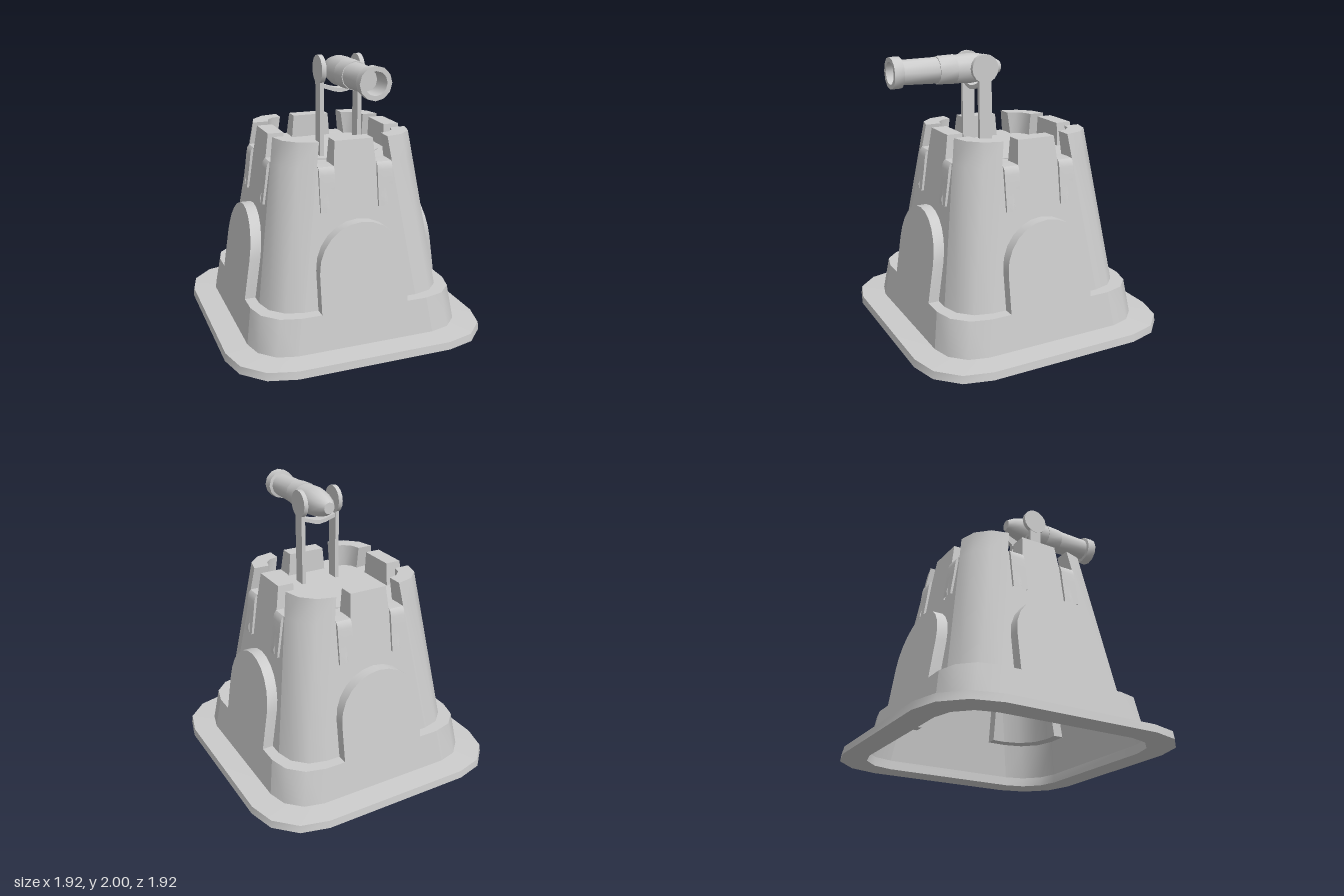
import * as THREE from 'three';
import { toCreasedNormals } from 'three/addons/utils/BufferGeometryUtils.js';

const mat = new THREE.MeshStandardMaterial({ color: 0xcccccc, side: THREE.DoubleSide });
const LEDGE = 0.32, DECK = 1.29, TOP = 1.46, ARCH = 0.32, SPRING = 0.6;

// Half-widths of the sloping tower wall and of the plinth at height y
const wall = (y) => 0.67 - 0.149 * (y - LEDGE);
const plinth = (y) => wall(y) + 0.078;
const WALL_R = 0.25, PLINTH_R = 0.28, INNER = 0.385;

function add(parent, name, geometry) {
  const mesh = new THREE.Mesh(toCreasedNormals(geometry, 0.6), mat);
  mesh.name = name;
  parent.add(mesh);
  return mesh;
}

// Skin rows of [x, y, z] points; optionally close each row and cap both ends
function loft(rows, closed = false, caps = false) {
  const n = rows[0].length, index = [];
  for (let i = 0; i < rows.length - 1; i++) {
    for (let j = 0; j < (closed ? n : n - 1); j++) {
      const k = (j + 1) % n, a = i * n, b = a + n;
      index.push(a + j, a + k, b + k, a + j, b + k, b + j);
    }
  }
  if (caps) {
    const e = (rows.length - 1) * n;
    for (let j = 1; j < n - 1; j++) index.push(0, j + 1, j, e, e + j, e + j + 1);
  }
  const g = new THREE.BufferGeometry();
  g.setAttribute('position', new THREE.Float32BufferAttribute(rows.flat(2), 3));
  g.setIndex(index);
  return g;
}

// Rounded corner in the +x +z quadrant, running from the front to the side
function corner(half, r, y) {
  return [0, 1, 2, 3].map((k) => {
    const a = (k * Math.PI) / 6;
    return [half - r + r * Math.sin(a), y, half - r + r * Math.cos(a)];
  });
}

// Complete rounded square
function ring(half, r, y) {
  const pts = [];
  for (let q = 0; q < 4; q++) {
    const c = Math.cos(q * Math.PI / 2), s = Math.sin(q * Math.PI / 2);
    for (const [x, , z] of corner(half, r, y)) pts.push([x * c + z * s, y, z * c - x * s]);
  }
  return pts;
}

// Arch outline from right foot over the crown to the left foot
const archPoints = [[ARCH, LEDGE]];
for (let k = 0; k <= 12; k++) {
  const a = (k * Math.PI) / 12;
  archPoints.push([ARCH * Math.cos(a), SPRING + ARCH * Math.sin(a)]);
}
archPoints.push([-ARCH, LEDGE]);

// Flat outline laid onto a sloping face
function slopedPanel(points, slope) {
  const g = new THREE.ShapeGeometry(new THREE.Shape(points.map((p) => new THREE.Vector2(...p))));
  const p = g.attributes.position;
  for (let i = 0; i < p.count; i++) p.setZ(i, slope(p.getY(i)));
  return g;
}

// Cloth strip over the parapet with a swallowtail end
function ribbon() {
  const cols = [[-1, 0], [-1, 1], [-0.25, 1], [0, 1], [0.25, 1], [1, 1], [1, 0]];
  const path = [[DECK + 0.004, 0.39], [DECK + 0.006, 0.46], [DECK + 0.004, 0.53], [1.275, 0.545],
    [1.24, 0.553], [1.15, 0.564], [1.06, 0.577], [0.99, 0.587]];
  return loft(path.map(([y, z], i) => cols.map(([u, out]) => {
    const last = i === path.length - 1;
    const yy = last && u === 0 ? y + 0.04 : y;
    const depth = i < 3 ? z : out ? z : wall(y);
    return [u * 0.056, i < 3 && !out ? DECK : yy, depth];
  })));
}

// One quarter of the tower: front face plus the corner to its left
function towerQuarter() {
  const q = new THREE.Group();
  q.name = 'towerQuarter';
  const sw = (y) => wall(y) - WALL_R, sp = (y) => plinth(y) - PLINTH_R;

  add(q, 'wallFace', slopedPanel([...archPoints, [-sw(LEDGE), LEDGE], [-sw(DECK), DECK],
    [sw(DECK), DECK], [sw(LEDGE), LEDGE]], wall));
  add(q, 'plinthAndArchFace', slopedPanel([...archPoints, [-sp(LEDGE), LEDGE], [-sp(0.05), 0.05],
    [sp(0.05), 0.05], [sp(LEDGE), LEDGE]], plinth));
  add(q, 'archRim', loft([
    archPoints.map(([x, y]) => [x, y, plinth(y)]),
    archPoints.map(([x, y]) => [x, y, wall(y)])]));
  add(q, 'wallCorner', loft([DECK, LEDGE].map((y) => corner(wall(y), WALL_R, y))));
  add(q, 'plinthCorner', loft([LEDGE, 0.05].map((y) => corner(plinth(y), PLINTH_R, y))));
  const ledge = (half, r) => [[ARCH, LEDGE, half], ...corner(half, r, LEDGE), [half, LEDGE, ARCH]];
  add(q, 'plinthLedge', loft([ledge(plinth(LEDGE), PLINTH_R), ledge(wall(LEDGE), WALL_R)]));

  // Battlements
  add(q, 'middleMerlon', loft([-1, 1].map((s) => [
    [s * 0.155, DECK, wall(DECK)], [s * 0.14, TOP, wall(TOP)],
    [s * 0.14, TOP, INNER], [s * 0.155, DECK, INNER]]), true, true));
  const arcs = [
    corner(wall(DECK), WALL_R, DECK), corner(wall(TOP), WALL_R, TOP),
    corner(INNER, INNER - sw(TOP), TOP), corner(INNER, INNER - sw(DECK), DECK)];
  add(q, 'cornerMerlon', loft([0, 1, 2, 3].map((k) => arcs.map((a) => a[k])), true, true));

  for (const s of [-1, 1]) add(q, 'ribbon', ribbon()).position.x = s * 0.213;
  return q;
}

function cannon() {
  const g = new THREE.Group();
  g.name = 'cannon';
  // Barrel: radius against distance along z, with a hollow muzzle
  const profile = [[0, 0.03], [0.042, 0.03], [0.07, 0.08], [0.098, 0.175], [0.106, 0.25], [0.1, 0.385],
    [0.104, 0.385], [0.098, 0.515], [0.092, 0.515], [0.086, 0.775], [0.108, 0.78], [0.11, 0.85],
    [0.078, 0.85], [0.074, 0.7], [0, 0.7]];
  const barrel = new THREE.LatheGeometry(profile.map((p) => new THREE.Vector2(...p)), 12);
  barrel.rotateX(Math.PI / 2);
  add(g, 'barrel', barrel).position.y = 1.89;

  // Support posts with round cheeks
  for (const s of [-1, 1]) {
    const post = add(g, 'post', new THREE.BoxGeometry(0.03, 0.56, 0.095));
    post.position.set(s * 0.14, DECK + 0.28, 0.21);
    const cheek = new THREE.CylinderGeometry(0.1, 0.1, 0.032, 16);
    cheek.rotateZ(Math.PI / 2);
    add(g, 'cheek', cheek).position.set(s * 0.141, 1.9, 0.21);
  }

  // Sagging cradle between the posts
  const xs = [-0.13, -0.045, 0, 0.045, 0.13], ys = [1.775, 1.747, 1.74, 1.747, 1.775];
  add(g, 'cradle', loft(xs.map((x, i) => [
    [x, ys[i], 0.165], [x, ys[i] + 0.028, 0.165],
    [x, ys[i] + 0.028, 0.255], [x, ys[i], 0.255]]), true, true));
  return g;
}

export function createModel() {
  const model = new THREE.Group();
  model.name = 'castleTower';

  // Hollow base flange
  add(model, 'baseFlange', loft([
    ring(0.785, PLINTH_R, 0), ring(0.96, 0.4, 0), ring(0.953, 0.395, 0.055),
    ring(0.785, PLINTH_R, 0.065), ring(0.785, PLINTH_R, 0)], true));

  for (let i = 0; i < 4; i++) {
    const q = towerQuarter();
    q.rotation.y = (i * Math.PI) / 2;
    model.add(q);
  }

  // Deck
  const outline = ring(wall(DECK), WALL_R, 0).map(([x, , z]) => new THREE.Vector2(x, -z));
  const deck = new THREE.ShapeGeometry(new THREE.Shape(outline));
  deck.rotateX(-Math.PI / 2);
  add(model, 'deck', deck).position.y = DECK;
  add(model, 'deckDisc', new THREE.CylinderGeometry(0.37, 0.37, 0.006, 12)).position.y = DECK + 0.003;

  model.add(cannon());
  return model;
}
